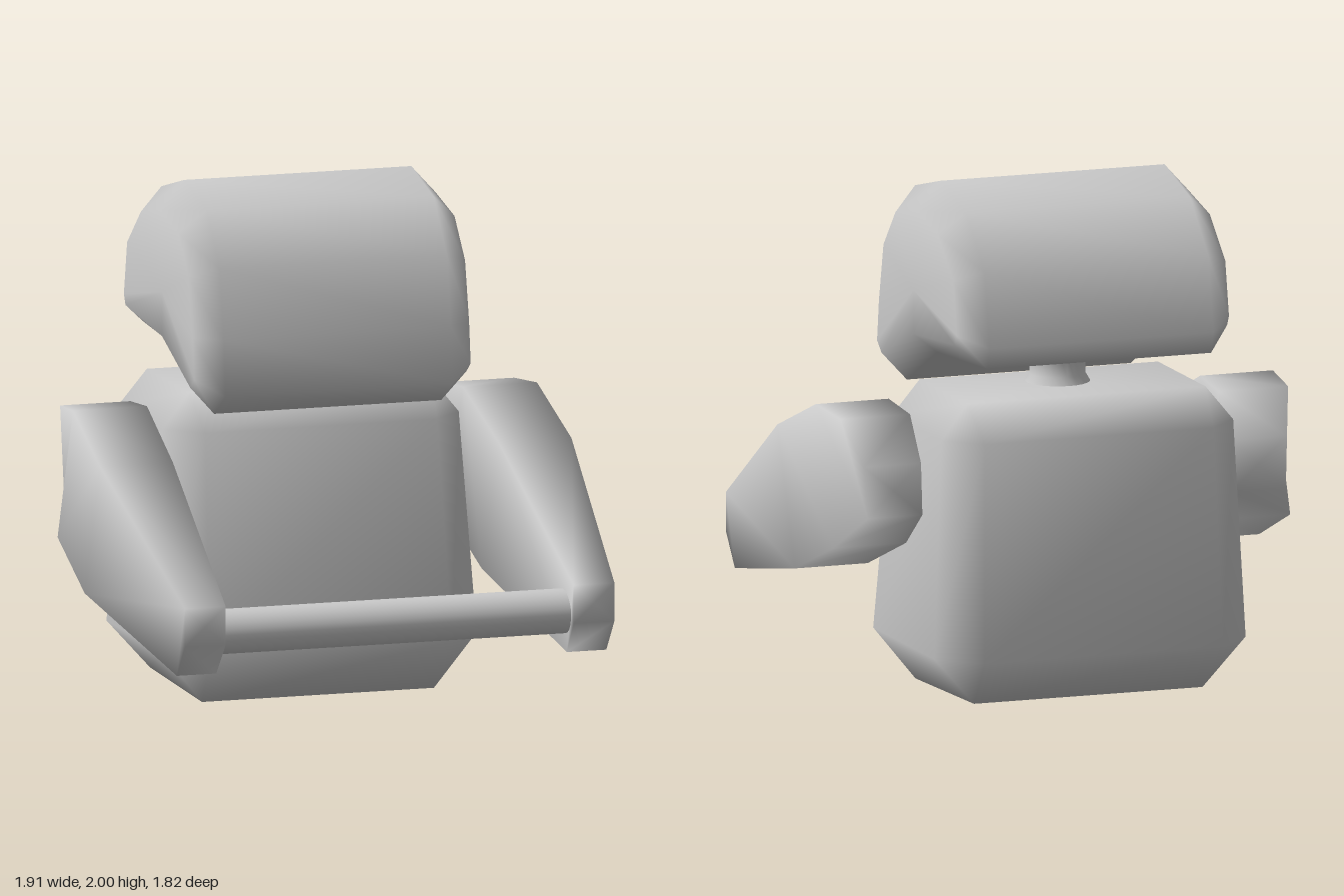
import * as THREE from 'three';
import { mergeVertices } from 'three/addons/utils/BufferGeometryUtils.js';

const material = new THREE.MeshStandardMaterial({ color: 0xcccccc });

function part(name, geometry) {
  const mesh = new THREE.Mesh(geometry, material);
  mesh.name = name;
  return mesh;
}

// Smooth closed solid through rings of [x, y, z] points, with a fan cap at both ends
function loft(rings) {
  const tris = [];
  const add = (a, b, c) => {
    const [p, q, r] = [a, b, c].map((v) => new THREE.Vector3(...v));
    if (new THREE.Triangle(p, q, r).getArea() > 1e-6) tris.push([p, q, r]);
  };
  const n = rings[0].length;
  const centre = (ring) => [0, 1, 2].map((k) => ring.reduce((s, p) => s + p[k], 0) / n);
  const first = rings[0], last = rings[rings.length - 1];
  const c0 = centre(first), c1 = centre(last);
  for (let i = 0; i < n; i++) {
    const j = (i + 1) % n;
    for (let r = 0; r + 1 < rings.length; r++) {
      const a = rings[r], b = rings[r + 1];
      add(a[i], a[j], b[j]);
      add(a[i], b[j], b[i]);
    }
    add(c0, first[j], first[i]);
    add(c1, last[i], last[j]);
  }
  // Turn the faces outward whichever way the rings run
  const origin = new THREE.Vector3(...c0);
  const volume = tris.reduce((s, [p, q, r]) => {
    const [a, b, c] = [p, q, r].map((v) => v.clone().sub(origin));
    return s + a.dot(b.cross(c));
  }, 0);
  const points = tris.flatMap(([p, q, r]) => (volume < 0 ? [p, r, q] : [p, q, r]));
  const geometry = mergeVertices(new THREE.BufferGeometry().setFromPoints(points), 1e-4);
  geometry.computeVertexNormals();
  return geometry;
}

// Rectangle with cut corners at height y (the back edge may sit higher by lift)
function tier(y, hx, front, back, cut, lift = 0) {
  return [
    [hx - cut, y, front], [hx, y, front - cut], [hx, y + lift, back + cut], [hx - cut, y + lift, back],
    [cut - hx, y + lift, back], [-hx, y + lift, back + cut], [-hx, y, front - cut], [cut - hx, y, front],
  ];
}

// Arm as four-sided sections: [z, y, inner x, outer x] of the top and of the bottom edge
const armSections = [
  [[0.91, 0.57, 0.705, 0.87], [0.91, 0.42, 0.705, 0.87]],
  [[0.91, 0.57, 0.705, 0.87], [0.81, 0.29, 0.71, 0.87]],
  [[0.12, 0.99, 0.66, 0.955], [-0.07, 0.46, 0.655, 0.955]],
  [[-0.26, 1.14, 0.64, 0.94], [-0.45, 0.61, 0.64, 0.94]],
  [[-0.48, 1.12, 0.635, 0.92], [-0.615, 0.75, 0.635, 0.86]],
  [[-0.6, 0.95, 0.635, 0.87], [-0.615, 0.75, 0.635, 0.86]],
];

function arm(side) {
  return loft(armSections.map(([t, b]) => [
    [side * t[2], t[1], t[0]], [side * t[3], t[1], t[0]],
    [side * b[3], b[1], b[0]], [side * b[2], b[1], b[0]],
  ]));
}

export function createModel() {
  const model = new THREE.Group();
  model.name = 'figure';

  // Torso: bevelled block, wider at the bottom
  model.add(part('torso', loft([
    tier(0, 0.47, -0.1, -0.74, 0, 0.02),
    tier(0.21, 0.64, 0.06, -0.91, 0.15),
    tier(1.06, 0.6, -0.06, -0.86, 0.13),
    tier(1.195, 0.49, -0.2, -0.72, 0),
  ])));

  // Neck: short flared post
  const neck = part('neck', new THREE.LatheGeometry(
    [[0.14, 1.17], [0.108, 1.225], [0.108, 1.3], [0.14, 1.335], [0.14, 1.4]]
      .map(([r, y]) => new THREE.Vector2(r, y)), 24));
  neck.position.z = -0.405;
  model.add(neck);

  // Head: domed [z, y] profile across x, drawn in at both sides
  const outer = [[0.16, 1.24], [0.02, 1.15], [-0.31, 1.32], [-0.86, 1.355], [-0.885, 1.44], [-0.83, 1.73],
    [-0.63, 1.925], [-0.35, 2], [-0.07, 1.93], [0.09, 1.73], [0.14, 1.46]];
  const inset = [[0.08, 1.3], [0.03, 1.26], [-0.32, 1.4], [-0.77, 1.44], [-0.79, 1.48], [-0.75, 1.69],
    [-0.58, 1.84], [-0.35, 1.89], [-0.12, 1.84], [0.01, 1.69], [0.06, 1.46]];
  const slice = (profile, x) => profile.map(([z, y]) => [x, y, z]);
  model.add(part('head', loft([
    slice(inset, -0.56), slice(outer, -0.46), slice(outer, 0.46), slice(inset, 0.56),
  ])));

  // Arms reaching forward
  model.add(part('leftArm', arm(1)), part('rightArm', arm(-1)));

  // Bar held between the hands
  const bar = part('handBar', new THREE.CylinderGeometry(0.087, 0.087, 1.46, 24));
  bar.rotation.z = Math.PI / 2;
  bar.position.set(0, 0.448, 0.785);
  model.add(bar);

  return model;
}
